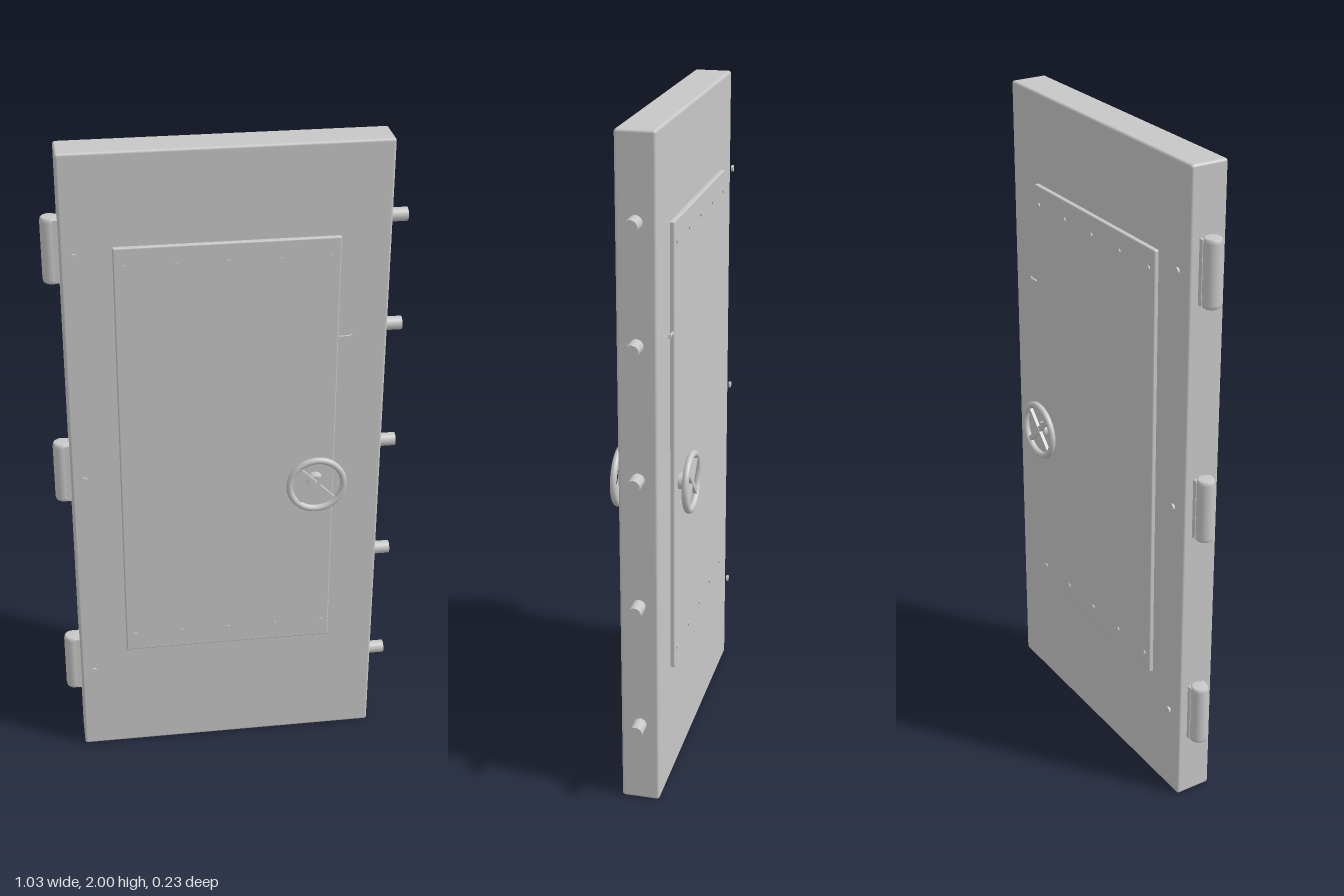
import * as THREE from 'three';
import { RoundedBoxGeometry } from 'three/addons/geometries/RoundedBoxGeometry.js';

const steel = new THREE.MeshStandardMaterial({ color: 0xc7c7c7 });
steel.name = 'light grey steel';

function add(parent, name, geometry, x = 0, y = 0, z = 0) {
  const mesh = new THREE.Mesh(geometry, steel);
  mesh.name = name;
  mesh.position.set(x, y, z);
  parent.add(mesh);
  return mesh;
}

// Cylinder lying along z, from depth z0 to z1
function rod(parent, name, r, x, y, z0, z1, sides = 16) {
  const g = new THREE.CylinderGeometry(r, r, Math.abs(z1 - z0), sides).rotateX(Math.PI / 2);
  return add(parent, name, g, x, y, (z0 + z1) / 2);
}

// Spoked handwheel on a short shaft; s is the side of the door (+1 front, -1 back)
function handWheel(s) {
  const wheel = new THREE.Group();
  wheel.name = 'handWheel';
  const ringZ = s * 0.105;
  add(wheel, 'wheelRim', new THREE.TorusGeometry(0.082, 0.01, 12, 48), 0, 0, ringZ);
  rod(wheel, 'wheelShaft', 0.024, 0, 0, s * 0.06, s * 0.098, 24);
  rod(wheel, 'wheelHub', 0.011, 0, 0, s * 0.095, s * 0.111, 16);
  for (let i = 0; i < 2; i++) {
    const spoke = add(wheel, 'wheelSpoke', new THREE.BoxGeometry(0.16, 0.015, 0.01), 0, 0, ringZ);
    spoke.rotation.z = Math.PI / 4 + (i * Math.PI) / 2;
  }
  wheel.position.set(0.259, 0.951, 0);
  return wheel;
}

// Barrel hinge with rounded ends and a leaf fixed to the door edge
function hinge(y) {
  const group = new THREE.Group();
  group.name = 'hinge';
  const h = 0.0975, r = 0.027;
  const profile = [[0, -h], [r - 0.006, -h], [r - 0.002, -h + 0.003], [r, -h + 0.012],
    [r, h - 0.012], [r - 0.002, h - 0.003], [r - 0.006, h], [0, h]]
    .map(([px, py]) => new THREE.Vector2(px, py));
  add(group, 'hingeBarrel', new THREE.LatheGeometry(profile, 32), -0.489, 0, 0);
  add(group, 'hingeLeaf', new THREE.BoxGeometry(0.02, 0.185, 0.056), -0.472, 0, 0);
  group.position.y = y;
  return group;
}

export function createModel() {
  const model = new THREE.Group();
  model.name = 'vaultDoor';

  // Door slab
  add(model, 'doorSlab', new RoundedBoxGeometry(0.93, 2, 0.113, 3, 0.008), -0.003, 1, 0);

  // Locking bolts on the opening edge
  for (const y of [0.253, 0.641, 1.031, 1.42, 1.758]) {
    const g = new THREE.CylinderGeometry(0.02, 0.02, 0.07, 24).rotateZ(Math.PI / 2);
    add(model, 'lockingBolt', g, 0.481, y, 0);
  }

  // Hinges
  const hingeHeights = [0.301, 1, 1.708];
  for (const y of hingeHeights) model.add(hinge(y));

  // Fittings repeated on both faces
  for (const s of [1, -1]) {
    const face = new THREE.Group();
    face.name = s > 0 ? 'frontFittings' : 'backFittings';
    model.add(face);

    add(face, 'facePanel', new RoundedBoxGeometry(0.64, 1.357, 0.02, 2, 0.004), -0.003, 1.049, s * 0.0595);

    // Rivets along the top and bottom of the panel
    for (const y of [0.429, 1.67]) {
      for (let i = 0; i < 5; i++) {
        rod(face, 'panelRivet', 0.007, -0.296 + i * 0.1467, y, s * 0.065, s * 0.073, 12);
      }
    }

    // Hinge pin heads, standing just off the slab
    for (const y of hingeHeights) {
      rod(face, 'hingePinHead', 0.01, -0.43, y, s * 0.068, s * 0.074, 16);
    }

    // Small latch beside the panel
    add(face, 'latchBar', new THREE.BoxGeometry(0.05, 0.005, 0.006), 0.331, 1.417, s * 0.065);
    add(face, 'latchTip', new THREE.BoxGeometry(0.005, 0.011, 0.006), 0.355, 1.417, s * 0.065);

    face.add(handWheel(s));
  }

  return model;
}
